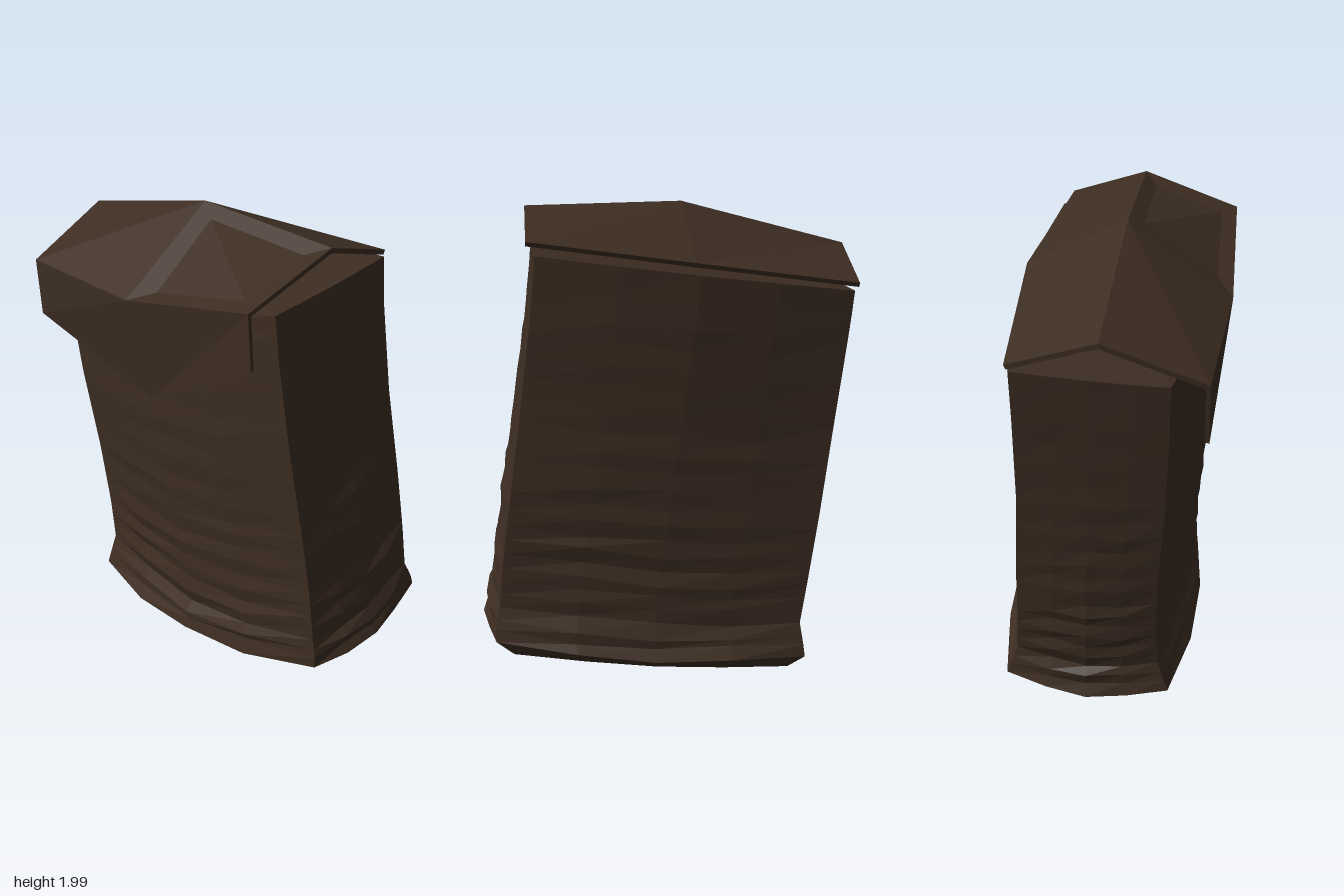
import * as THREE from 'three';

const leather = new THREE.MeshStandardMaterial({ color: 0x3d2d22, side: THREE.DoubleSide, flatShading: true });
leather.name = 'dark leather';

// Builds a flat shaded surface from a grid of points
function loft(rows, closed, name) {
  const tri = [];
  const n = rows[0].length;
  for (let i = 0; i < rows.length - 1; i++) {
    for (let j = 0; j < (closed ? n : n - 1); j++) {
      const k = (j + 1) % n;
      const a = rows[i][j], b = rows[i][k], c = rows[i + 1][k], d = rows[i + 1][j];
      tri.push(...a, ...b, ...c, ...a, ...c, ...d);
    }
  }
  const g = new THREE.BufferGeometry();
  g.setAttribute('position', new THREE.Float32BufferAttribute(tri, 3));
  g.computeVertexNormals();
  const mesh = new THREE.Mesh(g, leather);
  mesh.name = name;
  return mesh;
}

// Profile of the sack: height at x = 0, corner x left and right,
// corner z front left, front right, back, then bulge of front and back
const profile = [
  [0.085, -0.52, 0.66, 0.22, 0.22, -0.37, 0.085, 0.055],
  [0.16, -0.585, 0.73, 0.29, 0.28, -0.41, 0.105, 0.055],
  [0.22, -0.58, 0.73, 0.27, 0.28, -0.39, 0.105, 0.05],
  [0.30, -0.57, 0.71, 0.245, 0.275, -0.36, 0.10, 0.04],
  [0.50, -0.60, 0.69, 0.235, 0.28, -0.345, 0.10, 0.03],
  [0.80, -0.64, 0.645, 0.24, 0.29, -0.33, 0.11, 0.03],
  [1.20, -0.69, 0.585, 0.265, 0.315, -0.30, 0.11, 0.045],
  [1.60, -0.735, 0.53, 0.275, 0.33, -0.29, 0.10, 0.06],
  [1.76, -0.75, 0.515, 0.275, 0.33, -0.29, 0.085, 0.055],
];

function profileAt(y) {
  let i = 0;
  while (i < profile.length - 2 && y > profile[i + 1][0]) i++;
  const p = profile[i], q = profile[i + 1];
  const t = (y - p[0]) / (q[0] - p[0]);
  return p.map((v, k) => v + (q[k] - v) * t);
}

let seed = 7;
const noise = () => {
  seed = (seed * 16807) % 2147483647;
  return (seed / 2147483647) * 2 - 1;
};

// One bulging, tilted ring of the sack, with irregular creases that deepen towards the base
function ring(y, level, last) {
  const [, xl, xr, zl, zr, zb, front, back] = profileAt(y);
  const corners = [[xl, zl], [xr, zr], [xr, zb], [xl, zb]];
  const out = [[0, 1], [1, 0], [0, -1], [-1, 0]];
  const low = Math.max(0, 1 - y / 1.5);
  const bulge = [front, 0.008 + 0.042 * low, back, 0.008 + 0.034 * low];
  const edge = level === 0 || last;
  const depth = 0.001 + 0.013 * low * low;
  const pts = [];
  for (let s = 0; s < 4; s++) {
    const a = corners[s], b = corners[(s + 1) % 4];
    for (let j = 0; j < 4; j++) {
      const u = j / 4, arch = 1 - Math.pow(Math.abs(2 * u - 1), 1.6);
      const crease = edge || j === 0 ? 0 : ((level % 2 ? 0.7 : -0.7) + noise() * 0.8) * depth;
      const push = bulge[s] * arch + crease;
      const x = a[0] + (b[0] - a[0]) * u + out[s][0] * push;
      const z = a[1] + (b[1] - a[1]) * u + out[s][1] * push;
      const tilt = 0.13 * x - 0.05 * z * (last ? 1 : low);
      let sag = -0.035 * arch * low + (j ? noise() * 0.015 : 0);
      if (edge) sag = last && s === 0 ? -0.05 * arch : 0;
      pts.push([x, y + tilt + sag, z]);
    }
  }
  return pts;
}

function createBody() {
  const heights = [0.085, 0.16, 0.21, 0.25, 0.30];
  for (let y = 0.36; y < 1.67; y += 0.045 + 0.035 * y) heights.push(y);
  heights.push(1.76);
  const rings = heights.map((y, i) => ring(y, i, i === heights.length - 1));
  // Close both ends towards a centre point
  const centre = (r) => {
    const c = [0, 1, 2].map((k) => r.reduce((s, p) => s + p[k], 0) / r.length);
    return r.map(() => c);
  };
  const top = rings[rings.length - 1];
  return loft([centre(rings[0]), ...rings, centre(top)], true, 'sack');
}

// Folded flap: front hem, front fold, ridge and back edge, from left to right across
function createFlap() {
  const outer = [
    [[-0.74, 1.43, 0.415], [-0.06, 1.28, 0.415], [0.52, 1.64, 0.46]],
    [[-0.757, 1.67, 0.41], [-0.12, 1.71, 0.467], [0.505, 1.86, 0.46]],
    [[-0.785, 1.82, 0.03], [-0.1, 2.0, 0.055], [0.54, 1.99, 0.065]],
    [[-0.765, 1.71, -0.30], [-0.1, 1.81, -0.34], [0.545, 1.89, -0.25]],
  ];
  // Inner layer gives the leather its thickness
  const shift = [[0, 0.004, -0.016], [0, -0.014, -0.016], [0, -0.02, 0], [0, -0.018, 0.008]];
  const inner = outer.map((row, i) => row.map((p) => p.map((v, k) => v + shift[i][k])));
  const flap = new THREE.Group();
  flap.name = 'flap';
  flap.add(loft(outer, false, 'flapOuter'));
  flap.add(loft([...inner].reverse(), false, 'flapLining'));
  const rim = (r) => [...r.map((x) => x[0]), ...r[3].slice(1), ...r.slice(0, 3).reverse().map((x) => x[2]), r[0][1]];
  flap.add(loft([rim(outer), rim(inner)], true, 'flapEdge'));
  return flap;
}

export function createModel() {
  const model = new THREE.Group();
  model.name = 'pouch';
  model.add(createBody(), createFlap());
  return model;
}
